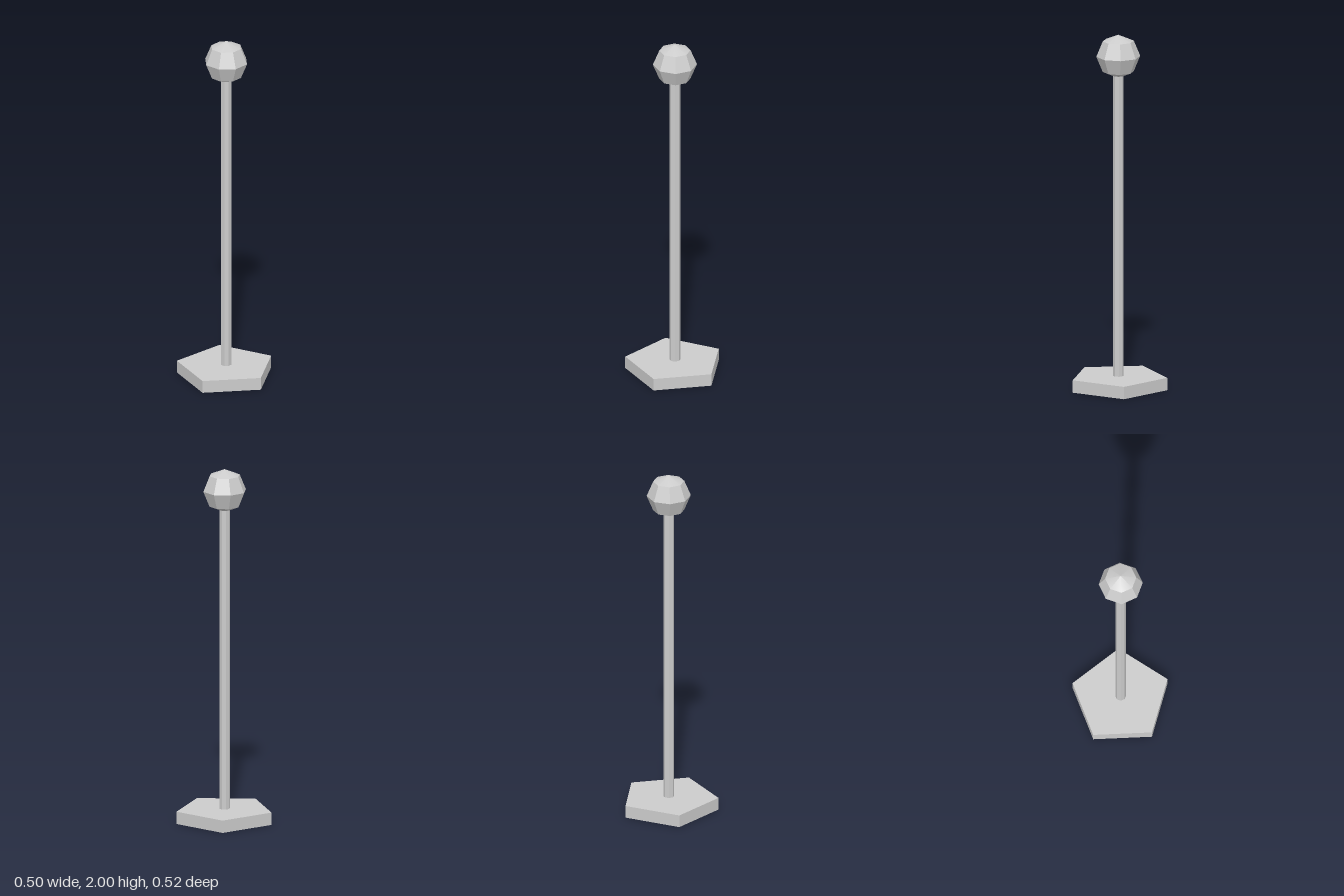
import * as THREE from 'three';
import { toCreasedNormals } from 'three/addons/utils/BufferGeometryUtils.js';

export function createModel() {
  const model = new THREE.Group();
  const material = new THREE.MeshStandardMaterial({ color: 0xcccccc });
  const axisX = -0.027; // common axis of all parts

  const add = (name, geometry, y) => {
    const mesh = new THREE.Mesh(toCreasedNormals(geometry, 0.5), material);
    mesh.name = name;
    mesh.position.set(axisX, y, 0);
    model.add(mesh);
  };

  // Five-sided slab with one corner pointing to +x
  const baseHeight = 0.07;
  add('base', new THREE.CylinderGeometry(0.276, 0.276, baseHeight, 5, 1, false, Math.PI / 2), baseHeight / 2);

  // Thin post from the base up into the ball
  const postTop = 1.79, postBottom = 0.05;
  add('post', new THREE.CylinderGeometry(0.03, 0.03, postTop - postBottom, 8), (postTop + postBottom) / 2);

  // Faceted ball with softly shaded caps
  const ballRadius = 0.122;
  add('ball', new THREE.SphereGeometry(ballRadius, 8, 4), 2 - ballRadius);

  return model;
}
